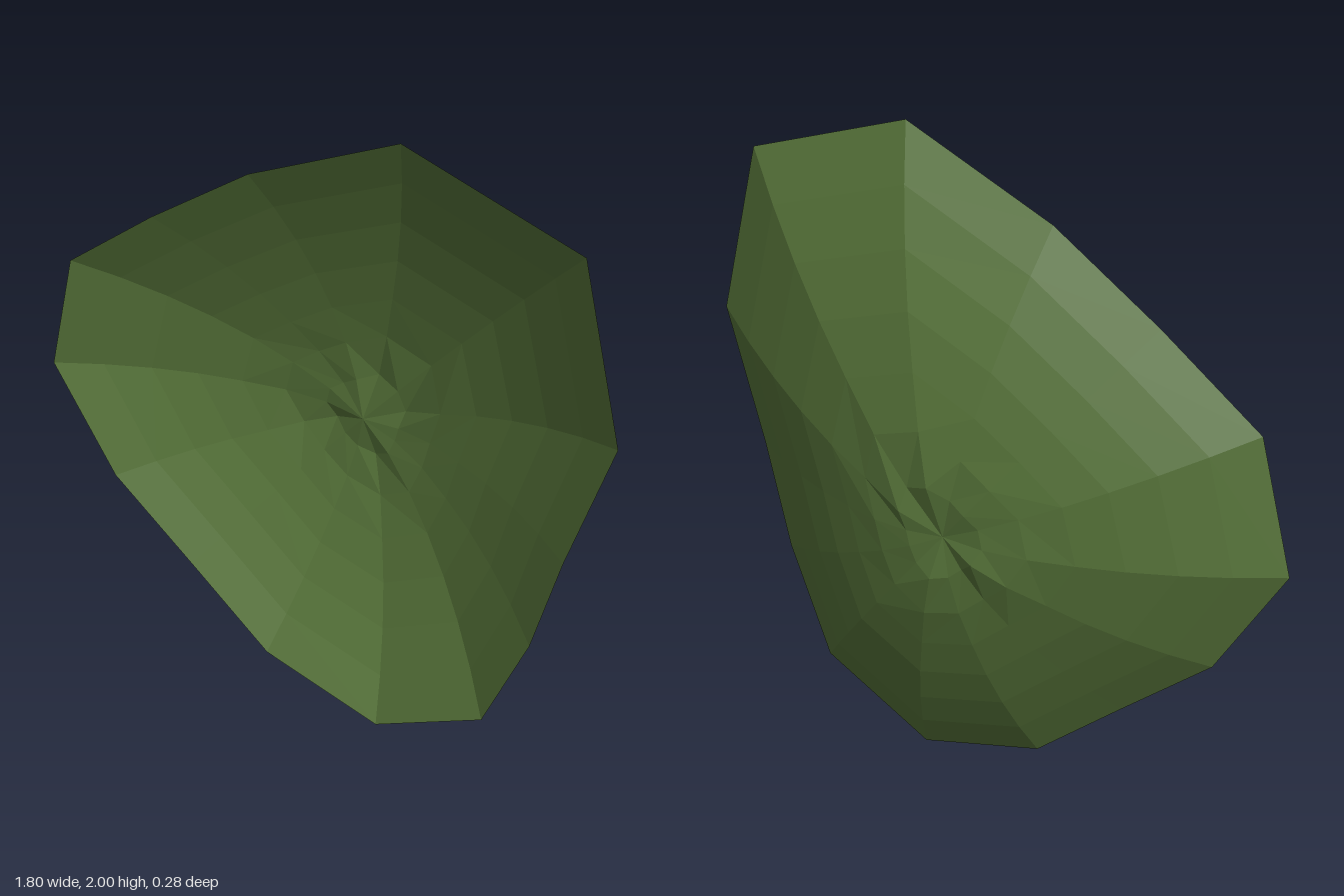
import * as THREE from 'three';

// Rim outline, one point per ray, anticlockwise around the hub
const RIM = [
  [0.78, 0.915], [0.895, 1.34], [0.765, 1.85], [0.265, 2.0], [-0.18, 1.78],
  [-0.5, 1.55], [-0.8, 1.31], [-0.905, 0.915], [-0.705, 0.57], [-0.435, 0.34],
  [-0.165, 0.105], [0.225, 0.005], [0.575, 0.22], [0.705, 0.58],
];
const HUB = [0.017, 0.915];
const RINGS = 7;
const RIM_Z = 0.14, DEPTH = 0.272, HUB_Z = -0.112;

// Small dents and bumps around the hub, one value per ray
const RING1 = [0, -0.012, 0.004, -0.013, 0.006, 0, 0.005, 0, -0.014, 0.005, 0, -0.011, 0.004, 0];
const RING2 = [-0.006, 0.002, -0.005, -0.007, 0, -0.004, 0.002, -0.004, -0.012, 0, -0.004, -0.008, 0, -0.004];

// A shallow bowl: straight rays from hub to rim, depth growing with the square
function leafGeometry() {
  const n = RIM.length;
  const positions = [HUB[0], HUB[1], HUB_Z];
  const index = [];
  for (let r = 1; r <= RINGS; r++) {
    const t = r / RINGS;
    RIM.forEach(([x, y], i) => {
      const bump = r === 1 ? RING1[i] : r === 2 ? RING2[i] : 0;
      positions.push(
        THREE.MathUtils.lerp(HUB[0], x, t),
        THREE.MathUtils.lerp(HUB[1], y, t),
        RIM_Z - DEPTH * (1 - t * t) + bump,
      );
    });
  }
  const at = (r, i) => 1 + (r - 1) * n + (i % n);
  for (let i = 0; i < n; i++) {
    index.push(0, at(1, i), at(1, i + 1));
    for (let r = 1; r < RINGS; r++) {
      const a = at(r, i), b = at(r + 1, i), c = at(r + 1, i + 1), d = at(r, i + 1);
      index.push(a, b, c, a, c, d);
    }
  }
  const geometry = new THREE.BufferGeometry();
  geometry.setAttribute('position', new THREE.Float32BufferAttribute(positions, 3));
  geometry.setIndex(index);
  geometry.computeVertexNormals();
  return geometry;
}

export function createModel() {
  const group = new THREE.Group();
  group.name = 'cuppedLeaf';
  const material = new THREE.MeshStandardMaterial({
    color: 0x567339, flatShading: true, side: THREE.DoubleSide,
  });
  const leaf = new THREE.Mesh(leafGeometry(), material);
  leaf.name = 'leafBlade';
  group.add(leaf);
  return group;
}
